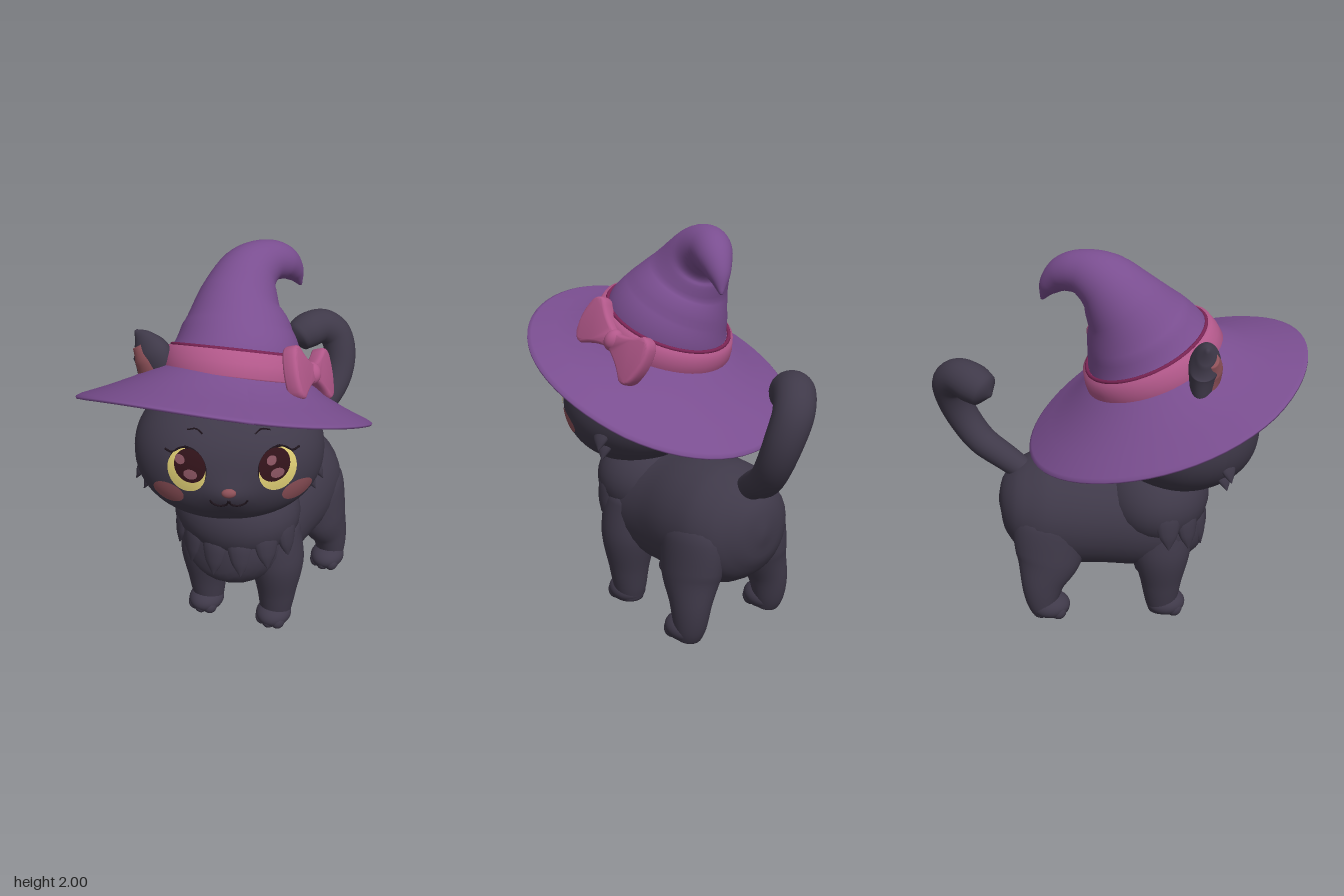
import * as THREE from 'three';
import { toCreasedNormals } from 'three/addons/utils/BufferGeometryUtils.js';

const mat = (name, color, side = THREE.FrontSide) => {
  const m = new THREE.MeshStandardMaterial({ color, side });
  m.name = name;
  return m;
};
const M = {
  fur: mat('dark fur', 0x3f3949),
  hat: mat('purple felt', 0x7a4e90, THREE.DoubleSide),
  band: mat('pink ribbon', 0xb2588a, THREE.DoubleSide),
  seam: mat('magenta seam', 0x7a2454),
  iris: mat('yellow eye', 0xdccb72),
  pupil: mat('brown pupil', 0x32131a),
  line: mat('dark line', 0x1e141c),
  shine: mat('eye shine', 0x87525f),
  blush: mat('dusty rose', 0x8d5058),
};
const V = (x, y, z) => new THREE.Vector3(x, y, z);

function add(parent, name, geo, material, pos = [0, 0, 0], scale = [1, 1, 1], rot = [0, 0, 0]) {
  const m = new THREE.Mesh(geo, material);
  m.name = name;
  m.position.set(...pos);
  m.scale.set(...scale);
  m.rotation.set(...rot);
  parent.add(m);
  return m;
}
const ball = new THREE.SphereGeometry(1, 32, 20);

// Smooth body swept through sections [x, y, z, radiusA, radiusB]
function sweep(sections, ref, steps = 32, sides = 28) {
  const path = new THREE.CatmullRomCurve3(sections.map(s => V(s[0], s[1], s[2])));
  const radii = new THREE.CatmullRomCurve3(sections.map(s => V(s[3], s[4] ?? s[3], 0)));
  const pos = [], idx = [];
  for (let i = 0; i <= steps; i++) {
    const t = i / steps, p = path.getPoint(t), T = path.getTangent(t), r = radii.getPoint(t);
    const a = new THREE.Vector3().crossVectors(ref, T).normalize();
    const b = new THREE.Vector3().crossVectors(T, a);
    for (let j = 0; j < sides; j++) {
      const f = j / sides * Math.PI * 2;
      const q = p.clone().addScaledVector(a, Math.cos(f) * r.x).addScaledVector(b, Math.sin(f) * r.y);
      pos.push(q.x, q.y, q.z);
      const k = (j + 1) % sides, o = i * sides;
      if (i < steps) idx.push(o + j, o + k, o + sides + k, o + j, o + sides + k, o + sides + j);
    }
  }
  const c = (steps + 1) * sides, last = steps * sides;
  for (const s of [sections[0], sections[sections.length - 1]]) pos.push(s[0], s[1], s[2]);
  for (let j = 0; j < sides; j++) {
    const k = (j + 1) % sides;
    idx.push(c, k, j, c + 1, last + j, last + k);
  }
  const g = new THREE.BufferGeometry();
  g.setAttribute('position', new THREE.Float32BufferAttribute(pos, 3));
  g.setIndex(idx);
  g.computeVertexNormals();
  return g;
}
// Pointed lock of fur hanging down
const lock = sweep([[0, 0.13, -0.05, 0.02, 0.01], [0, 0.05, -0.012, 0.07, 0.035],
  [0, -0.05, 0.006, 0.05, 0.026], [0, -0.13, 0.016, 0.003, 0.003]], V(0, 0, 1), 14, 14);

function buildBody() {
  const body = new THREE.Group();
  body.name = 'body';
  body.position.set(0.17, 0, -0.1);
  body.rotation.y = -0.69;
  add(body, 'torso', sweep([
    [-0.02, 0.63, -0.56, 0.02, 0.03], [-0.02, 0.63, -0.535, 0.13, 0.14], [-0.02, 0.625, -0.46, 0.24, 0.235],
    [-0.015, 0.61, -0.33, 0.305, 0.3], [-0.01, 0.595, -0.16, 0.315, 0.318], [-0.015, 0.575, 0.02, 0.305, 0.305],
    [-0.025, 0.56, 0.22, 0.31, 0.295], [-0.035, 0.57, 0.38, 0.28, 0.27], [-0.04, 0.59, 0.48, 0.19, 0.2],
    [-0.04, 0.6, 0.525, 0.03, 0.03]], V(0, 1, 0)), M.fur);
  add(body, 'neck', ball, M.fur, [-0.035, 0.69, 0.27], [0.338, 0.26, 0.285]);

  for (const s of [-1, 1]) {
    const name = s < 0 ? 'right' : 'left';
    const fx = s < 0 ? -0.2 : 0.185, fz = s < 0 ? 0.295 : 0.24, hx = s < 0 ? -0.27 : 0.25;
    add(body, name + 'FrontLeg', sweep([
      [fx * 0.75, 0.74, fz - 0.03, 0.03, 0.04], [fx * 0.85, 0.6, fz, 0.14, 0.16], [fx, 0.42, fz, 0.14, 0.155],
      [fx * 1.02, 0.22, fz, 0.104, 0.11], [fx, 0.1, fz, 0.085, 0.088], [fx, 0.035, fz, 0.07, 0.07]],
      V(0, 0, 1)), M.fur);
    add(body, name + 'HindLeg', sweep([
      [hx * 0.6, 0.76, -0.25, 0.03, 0.05], [hx * 0.72, 0.58, -0.28, 0.13, 0.2], [hx * 0.84, 0.4, -0.3, 0.122, 0.175],
      [hx * 0.97, 0.26, -0.335, 0.093, 0.115], [hx, 0.15, -0.34, 0.08, 0.085], [hx, 0.085, -0.325, 0.068, 0.068]],
      V(0, 0, 1)), M.fur);
    // Paws with soft toes and dark creases
    for (const [label, x, y, z] of [['Front', fx, 0, fz + 0.025], ['Hind', hx, 0.05, -0.3]]) {
      add(body, name + label + 'Paw', ball, M.fur, [x, y + 0.075, z], [0.093, 0.068, 0.105]);
      for (const k of [-1, 0, 1])
        add(body, 'toe', ball, M.fur, [x + k * 0.045, y + 0.058, z + 0.058 - Math.abs(k) * 0.015], [0.038, 0.046, 0.043]);
      for (const k of [-1, 1])
        add(body, 'toeCrease', ball, M.line, [x + k * 0.025, y + 0.065, z + 0.085], [0.003, 0.02, 0.009]);
    }
  }
  // Chest ruff
  for (let i = -3; i <= 3; i++) {
    const a = i * 0.45;
    add(body, 'chestTuft', lock, M.fur, [Math.sin(a) * 0.315 - 0.035, 0.59 - 0.05 * Math.cos(a * 2), 0.265 + Math.cos(a) * 0.25])
      .rotation.set(0, a, 0);
  }
  return body;
}

function buildHead() {
  const head = new THREE.Group();
  head.name = 'head';
  head.position.set(-0.085, 1.1, 0.175);
  head.rotation.y = -0.2;
  const RX = 0.465, RZ = 0.392, N = 2.15, ry = y => (y > 0 ? 0.34 : 0.345);
  // Soft swelling of the muzzle
  const bump = (x, y) => 0.032 * Math.exp(-((x / 0.11) ** 2) - ((y + 0.06) / 0.085) ** 2);
  const skull = new THREE.SphereGeometry(1, 64, 48), p = skull.attributes.position;
  for (let i = 0; i < p.count; i++) {
    const x = p.getX(i), y = p.getY(i), z = p.getZ(i);
    const k = (Math.abs(x) ** N + Math.abs(y) ** N + Math.abs(z) ** N) ** (-1 / N);
    const back = z < 0 ? 1 - 0.12 * z * z : 1;
    const X = x * k * RX * back, Y = y * k * ry(y) * back;
    p.setXYZ(i, X, Y, z > 0 ? z * k * RZ + bump(X, Y) * Math.min(1, z * 3) : z * k * 0.41);
  }
  skull.computeVertexNormals();
  add(head, 'skull', skull, M.fur);

  // Depth of the face at a point, and thin plates laid on it
  const face = (x, y) =>
    RZ * Math.max(0, 1 - Math.abs(x / RX) ** N - Math.abs(y / ry(y)) ** N) ** (1 / N) + bump(x, y);
  const plate = (name, m, cx, cy, rx, ryy, lift) => {
    const g = new THREE.RingGeometry(0.001, 1, 32, 6), a = g.attributes.position;
    for (let i = 0; i < a.count; i++) {
      const x = cx + a.getX(i) * rx, y = cy + a.getY(i) * ryy;
      a.setXYZ(i, x, y, face(x, y) + lift);
    }
    g.computeVertexNormals();
    add(head, name, g, m);
  };
  const stroke = (name, pts, r) => add(head, name, new THREE.TubeGeometry(
    new THREE.CatmullRomCurve3(pts.map(([x, y]) => V(x, y, face(x, y) + 0.002))), 16, r, 6), M.line);

  for (const s of [-1, 1]) {
    const ex = s < 0 ? -0.195 : 0.226;
    plate('eyeRim', M.line, ex - s * 0.004, 0.062, 0.09, 0.1, 0.003);
    plate('iris', M.iris, ex, 0.052, 0.089, 0.102, 0.005);
    plate('pupil', M.pupil, ex - s * 0.016, 0.078, 0.073, 0.078, 0.007);
    plate('eyeShine', M.shine, ex - 0.03, 0.105, 0.023, 0.022, 0.009);
    plate('eyeGlow', M.shine, ex + 0.008 - s * 0.01, 0.042, 0.032, 0.024, 0.009);
    plate('cheekBlush', M.blush, s < 0 ? -0.285 : 0.322, -0.088, 0.074, 0.058, 0.004);
    stroke('upperLid', [[ex - s * 0.078, 0.105], [ex, 0.159], [ex + s * 0.07, 0.125], [ex + s * 0.1, 0.13]], 0.005);
    stroke('eyebrow', [[s * 0.12, 0.215], [s * 0.15, 0.23], [s * 0.19, 0.222]], 0.004);
    stroke('mouth', [[0, -0.07], [s * 0.012, -0.1], [s * 0.045, -0.112], [s * 0.075, -0.1], [s * 0.088, -0.08]], 0.005);
    // Cheek fur
    for (const [x, y] of [[0.425, -0.09], [0.39, -0.15]])
      add(head, 'cheekTuft', lock, M.fur, [s * x, y, 0.03], [0.8, 0.7, 0.8]).rotation.set(0, s * 1.4, s * 0.3, 'ZYX');
  }
  add(head, 'nose', ball, M.blush, [0, -0.032, face(0, -0.032)], [0.034, 0.023, 0.018]);
  return head;
}

function buildHat() {
  const hat = new THREE.Group();
  hat.name = 'hat';
  // Tilted brim and ribbon
  const base = new THREE.Group();
  base.name = 'hatBase';
  base.position.set(-0.085, 1.25, 0.09);
  base.quaternion.setFromUnitVectors(V(0, 1, 0), V(0.2, 1, -0.4).normalize());
  hat.add(base);
  const lathe = pts => new THREE.LatheGeometry(pts.map(q => new THREE.Vector2(...q)), 64);
  const brim = lathe([[0.3, 0.15], [0.45, 0.098], [0.6, 0.035], [0.715, -0.012], [0.735, -0.01], [0.738, 0],
    [0.72, 0.012], [0.6, 0.06], [0.48, 0.115], [0.4, 0.165], [0.34, 0.2]]);
  const p = brim.attributes.position;
  for (let i = 0; i < p.count; i++) {
    const x = p.getX(i), z = p.getZ(i), r = Math.hypot(x, z);
    const lift = 0.03 * Math.max(0, -z / r) + 0.01 * Math.sin(3 * Math.atan2(z, x) + 0.6);
    const k = Math.max(0, (0.5 - r) / 0.2), out = 0.036 * (1 - k);
    p.setXYZ(i, x + 0.02 * k - out * z, p.getY(i) + lift * (r / 0.74) ** 2, z * 0.962 + 0.035 * k - out * x);
  }
  brim.computeVertexNormals();
  add(base, 'brim', brim, M.hat);
  add(base, 'ribbonBand', lathe([[0.345, 0.16], [0.364, 0.17], [0.358, 0.23], [0.342, 0.285], [0.3, 0.292]]), M.band, [0.015, 0, 0.045]);
  add(base, 'ribbonSeam', new THREE.TorusGeometry(0.318, 0.01, 8, 64), M.seam, [0.015, 0.29, 0.045], [1, 1, 1], [Math.PI / 2, 0, 0]);

  // Bent crown
  add(hat, 'crown', sweep([
    [-0.04, 1.44, 0.06, 0.33], [-0.02, 1.53, 0.025, 0.313], [-0.005, 1.63, -0.025, 0.268], [0.02, 1.75, -0.09, 0.2],
    [0.085, 1.855, -0.155, 0.15], [0.185, 1.893, -0.21, 0.107], [0.275, 1.868, -0.25, 0.085],
    [0.34, 1.805, -0.283, 0.052], [0.38, 1.73, -0.3, 0.008]], V(0, 0, 1), 48, 36), M.hat);

  // Bow
  const bow = new THREE.Group();
  bow.name = 'bow';
  const ax = V(0.27, -0.18, -0.34).normalize();
  const out = V(0.73, 0.34, 0.55);
  out.addScaledVector(ax, -out.dot(ax)).normalize();
  bow.quaternion.setFromRotationMatrix(new THREE.Matrix4().makeBasis(ax, new THREE.Vector3().crossVectors(out, ax), out));
  bow.position.set(0.295, 1.467, 0.222);
  hat.add(bow);
  const shape = new THREE.Shape();
  shape.moveTo(0, -0.025);
  shape.quadraticCurveTo(0.1, -0.05, 0.17, -0.11);
  shape.quadraticCurveTo(0.2, -0.115, 0.215, -0.085);
  shape.quadraticCurveTo(0.245, 0, 0.215, 0.085);
  shape.quadraticCurveTo(0.2, 0.115, 0.17, 0.11);
  shape.quadraticCurveTo(0.1, 0.05, 0, 0.025);
  const loop = toCreasedNormals(new THREE.ExtrudeGeometry(shape,
    { depth: 0.03, bevelThickness: 0.022, bevelSize: 0.016, bevelSegments: 4, curveSegments: 8 }), 0.9);
  for (const s of [0, 1]) add(bow, 'bowLoop', loop, M.band, [0, 0, -0.015], [1, 1, 1], [0, 0, s * Math.PI]);
  add(bow, 'bowKnot', ball, M.band, [0, 0, 0.01], [0.043, 0.055, 0.048]);
  return hat;
}

export function createModel() {
  const cat = new THREE.Group();
  cat.name = 'catWithHat';
  cat.add(buildBody(), buildHead(), buildHat());

  // Ear poking through the brim
  const facing = V(-0.8, 0, 0.6).normalize();
  const ear = [[-0.42, 1.26, 0, 0.06, 0.04], [-0.42, 1.42, 0.02, 0.105, 0.06], [-0.43, 1.54, 0.02, 0.115, 0.075],
    [-0.465, 1.61, -0.01, 0.065, 0.045], [-0.5, 1.65, -0.035, 0.008, 0.008]];
  add(cat, 'ear', sweep(ear, facing), M.fur);
  add(cat, 'innerEar', sweep(ear.slice(0, 4).map(([x, y, z, a, b]) =>
    [x - 0.022, y - 0.02, z + 0.016, a * 0.65, b * 0.75]), facing), M.blush);

  // Curled tail
  add(cat, 'tail', sweep([
    [0.4, 0.8, -0.43, 0.06], [0.5, 0.875, -0.495, 0.07], [0.62, 0.95, -0.555, 0.078], [0.695, 1.06, -0.6, 0.083],
    [0.718, 1.18, -0.64, 0.088], [0.69, 1.29, -0.67, 0.092], [0.61, 1.345, -0.665, 0.095], [0.53, 1.335, -0.645, 0.1],
    [0.46, 1.305, -0.62, 0.085], [0.425, 1.285, -0.605, 0.01]], V(0, 0, 1), 44, 24), M.fur);
  return cat;
}
